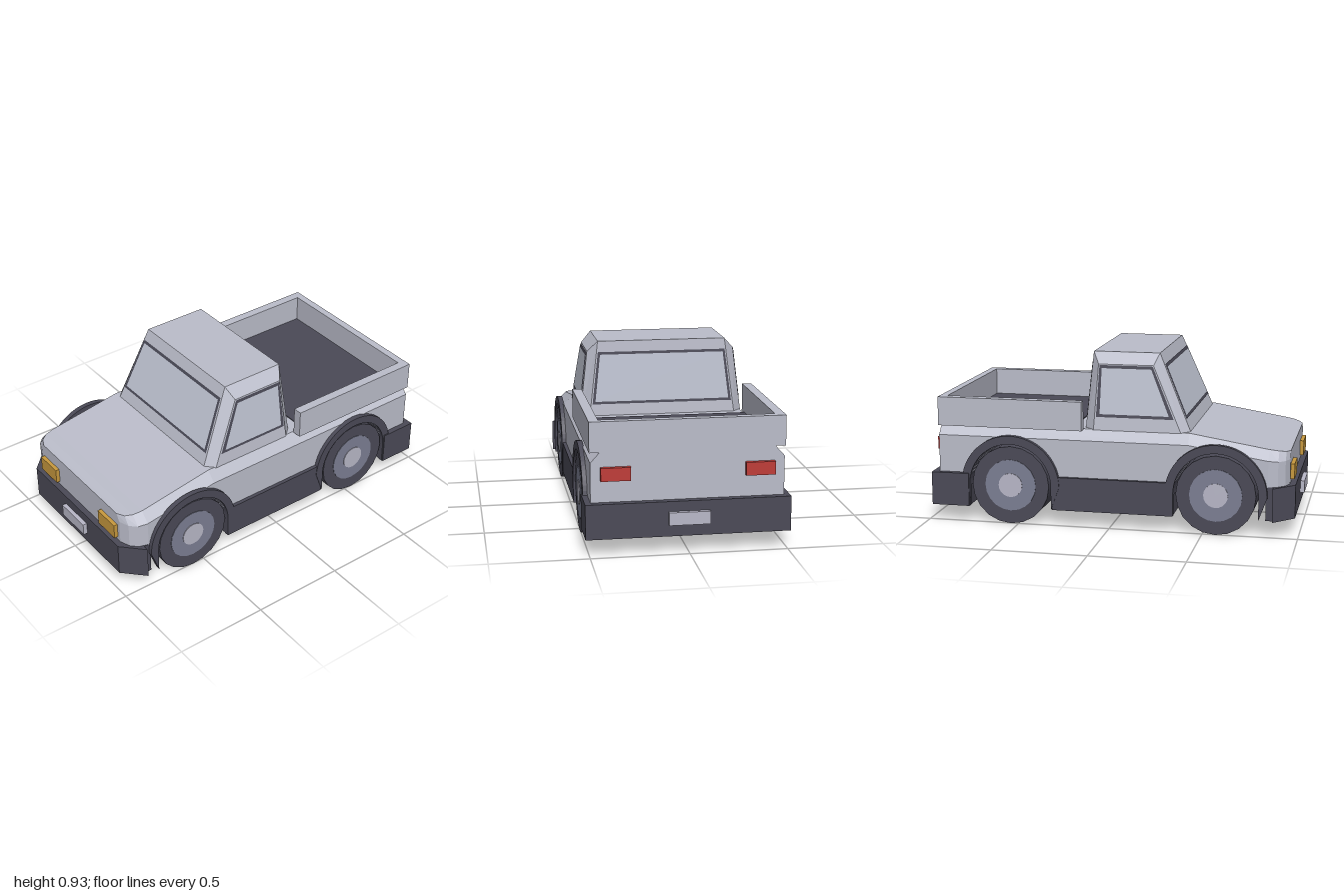
import * as THREE from 'three';

const mat = (name, color, side = THREE.FrontSide) => {
  const m = new THREE.MeshStandardMaterial({ color, side });
  m.name = name;
  return m;
};

export function createModel() {
  const truck = new THREE.Group();
  truck.name = 'pickupTruck';
  const paint = mat('silverPaint', 0xbbbdca, THREE.DoubleSide);
  const glass = mat('paleGlass', 0xbfc4d2, THREE.DoubleSide);
  const dark = mat('darkTrim', 0x4b4a57, THREE.DoubleSide);
  const rim = mat('rimGrey', 0x7c7f93);
  const bright = mat('brightMetal', 0xb9b8c8);
  const amber = mat('amberLens', 0xc99a3e);
  const red = mat('redLens', 0xc03c38);

  const add = (name, geo, m, parent = truck) => {
    const mesh = new THREE.Mesh(geo, m);
    mesh.name = name;
    parent.add(mesh);
    return mesh;
  };
  // Box given by its minimum and maximum corners
  const box = (name, m, x0, x1, y0, y1, z0, z1) =>
    add(name, new THREE.BoxGeometry(x1 - x0, y1 - y0, z1 - z0), m)
      .position.set((x0 + x1) / 2, (y0 + y1) / 2, (z0 + z1) / 2);
  // Flat-shaded polygons, each a counter-clockwise list of points
  const polys = (list) => {
    const pos = [];
    for (const p of list)
      for (let i = 1; i < p.length - 1; i++) pos.push(...p[0], ...p[i], ...p[i + 1]);
    const g = new THREE.BufferGeometry();
    g.setAttribute('position', new THREE.Float32BufferAttribute(pos, 3));
    g.computeVertexNormals();
    return g;
  };
  // Side profile (z, y) extruded across x from x0 to x1
  const sideExtrude = (shape, x0, x1) =>
    new THREE.ExtrudeGeometry(shape, { depth: x1 - x0, bevelEnabled: false, curveSegments: 16 })
      .rotateY(-Math.PI / 2).translate(x1, 0, 0);
  // Sections along z: [z, half width, half top width, bottom y, shoulder y, top y]
  const loft = (stations) => {
    const rings = stations.map(([z, w, t, yb, ys, yt]) =>
      [[w, yb, z], [w, ys, z], [t, yt, z], [-t, yt, z], [-w, ys, z], [-w, yb, z]]);
    const list = [[...rings[0]].reverse(), rings[rings.length - 1]];
    for (let i = 0; i < rings.length - 1; i++)
      for (let j = 0; j < 6; j++) {
        const k = (j + 1) % 6;
        list.push([rings[i][j], rings[i][k], rings[i + 1][k], rings[i + 1][j]]);
      }
    return polys(list);
  };

  const axles = [0.57, -0.54], hubY = 0.212, wellR = 0.225, archR = 0.27;

  // Lower body with wheel openings
  const side = new THREE.Shape();
  side.moveTo(0.84, 0.265);
  side.lineTo(0.84, 0.405);
  side.lineTo(0.42, 0.47);
  side.lineTo(-0.94, 0.47);
  side.lineTo(-0.94, 0.265);
  const a = Math.asin((0.265 - hubY) / wellR);
  for (const c of [...axles].reverse()) side.absarc(c, hubY, wellR, Math.PI - a, a, true);
  add('lowerBody', sideExtrude(side, -0.49, 0.49), paint);

  // Sloped shoulders, hood and tapered nose
  add('shouldersAndHood', loft([
    [-0.94, 0.49, 0.44, 0.465, 0.47, 0.525],
    [0.42, 0.49, 0.44, 0.465, 0.47, 0.525],
    [0.84, 0.49, 0.44, 0.4, 0.405, 0.457],
  ]), paint);
  add('nose', loft([
    [0.84, 0.49, 0.44, 0.26, 0.405, 0.457],
    [0.89, 0.475, 0.43, 0.26, 0.4, 0.45],
    [0.925, 0.44, 0.405, 0.26, 0.4, 0.443],
    [0.945, 0.385, 0.36, 0.26, 0.4, 0.44],
  ]), paint);

  // Cab with chamfered corners
  const pts = (s) => ({
    fb: [0.4 * s, 0.522, 0.42], sf: [0.447 * s, 0.522, 0.375],
    sr: [0.447 * s, 0.522, -0.095], rb: [0.4 * s, 0.522, -0.147],
    ft: [0.35 * s, 0.93, 0.245], tf: [0.405 * s, 0.87, 0.22],
    tr: [0.405 * s, 0.87, -0.075], rt: [0.35 * s, 0.93, -0.112],
  });
  const L = pts(1), R = pts(-1);
  const windshield = [R.fb, L.fb, L.ft, R.ft];
  const rearPane = [L.rb, R.rb, R.rt, L.rt];
  const leftPane = [L.sf, L.sr, L.tr, L.tf];
  const rightPane = [R.sr, R.sf, R.tf, R.tr];
  const cab = [windshield, rearPane, leftPane, rightPane, [R.ft, L.ft, L.rt, R.rt]];
  for (const [p, flip] of [[L, false], [R, true]])
    for (const q of [[p.fb, p.sf, p.tf, p.ft], [p.sr, p.rb, p.rt, p.tr], [p.tf, p.tr, p.rt, p.ft]])
      cab.push(flip ? q.reverse() : q);
  add('cab', polys(cab), paint);

  // Windows: a dark seal with a pane laid on it
  const onQuad = (q, u0, u1, v0, v1, lift) => {
    const [A, B, C, D] = q.map((p) => new THREE.Vector3(...p));
    const n = B.clone().sub(A).cross(D.clone().sub(A)).normalize();
    return polys([[[u0, v0], [u1, v0], [u1, v1], [u0, v1]].map(([u, v]) =>
      A.clone().lerp(B, u).lerp(D.clone().lerp(C, u), v).addScaledVector(n, lift).toArray())]);
  };
  const windowOn = (name, q, u, v0, v1, du, dv) => {
    add(name + 'Seal', onQuad(q, u, 1 - u, v0, v1, 0.003), dark);
    add(name + 'Glass', onQuad(q, u + du, 1 - u - du, v0 + dv, v1 - dv, 0.006), glass);
  };
  windowOn('windshield', windshield, 0.01, 0.16, 0.855, 0.018, 0.034);
  windowOn('rearWindow', rearPane, 0.01, 0.16, 0.855, 0.018, 0.034);
  windowOn('leftWindow', leftPane, 0.02, 0.2, 0.985, 0.045, 0.045);
  windowOn('rightWindow', rightPane, 0.02, 0.2, 0.985, 0.045, 0.045);

  // Cargo bed
  box('bedFloor', dark, -0.446, 0.446, 0.522, 0.53, -0.9, -0.21);
  box('tailgate', paint, -0.495, 0.495, 0.522, 0.678, -0.942, -0.9);
  for (const s of [-1, 1])
    box('bedSide', paint, Math.min(s * 0.445, s * 0.495), Math.max(s * 0.445, s * 0.495),
      0.522, 0.678, -0.9, -0.15);

  // Underbody and bumpers
  box('underbody', dark, -0.51, 0.51, 0.088, 0.268, -0.31, 0.342);
  box('rearBumper', dark, -0.52, 0.52, 0.088, 0.268, -0.977, -0.77);
  const plan = new THREE.Shape([[-0.49, 0.83], [-0.49, 0.868], [-0.522, 0.868], [-0.41, 0.977],
    [0.41, 0.977], [0.522, 0.868], [0.49, 0.868], [0.49, 0.83]]
    .map(([x, z]) => new THREE.Vector2(x, z)));
  add('frontBumper', new THREE.ExtrudeGeometry(plan, { depth: 0.18, bevelEnabled: false })
    .rotateX(Math.PI / 2).translate(0, 0.267, 0), dark);

  // Wheel arches, liners and wheels
  const archShape = (c, outer, foot) => {
    const s = new THREE.Shape();
    s.moveTo(c + outer, foot);
    s.absarc(c, hubY, outer, 0, Math.PI, false);
    s.lineTo(c - outer, foot);
    s.lineTo(c - wellR, foot);
    s.absarc(c, hubY, wellR, Math.PI, 0, true);
    s.lineTo(c + wellR, foot);
    return s;
  };
  for (const c of axles) {
    add('wheelWell', sideExtrude(archShape(c, 0.229, 0.2), -0.488, 0.488), dark);
    for (const s of [-1, 1]) {
      add('wheelArch', sideExtrude(archShape(c, archR, 0.09), s > 0 ? 0.485 : -0.513,
        s > 0 ? 0.513 : -0.485), dark);
      const wheel = new THREE.Group();
      wheel.name = 'wheel';
      wheel.position.set(0, hubY, c);
      truck.add(wheel);
      const disc = (name, r, x0, x1, m) =>
        add(name, new THREE.CylinderGeometry(r, r, x1 - x0, 20).rotateZ(Math.PI / 2), m, wheel)
          .position.x = s * (x0 + x1) / 2;
      disc('tire', hubY, 0.262, 0.503, dark);
      disc('rim', 0.14, 0.49, 0.506, rim);
      disc('hub', 0.065, 0.49, 0.509, bright);
    }
  }

  // Lamps and plates
  for (const s of [-1, 1]) {
    box('headlamp', amber, s * 0.287 - 0.077, s * 0.287 + 0.077, 0.287, 0.369, 0.93, 0.966);
    box('tailLamp', red, s * 0.365 - 0.075, s * 0.365 + 0.075, 0.38, 0.448, -0.964, -0.93);
    box('plate', bright, -0.105, 0.105, 0.15, 0.216, s > 0 ? 0.97 : -1, s > 0 ? 1 : -0.97);
  }
  return truck;
}
